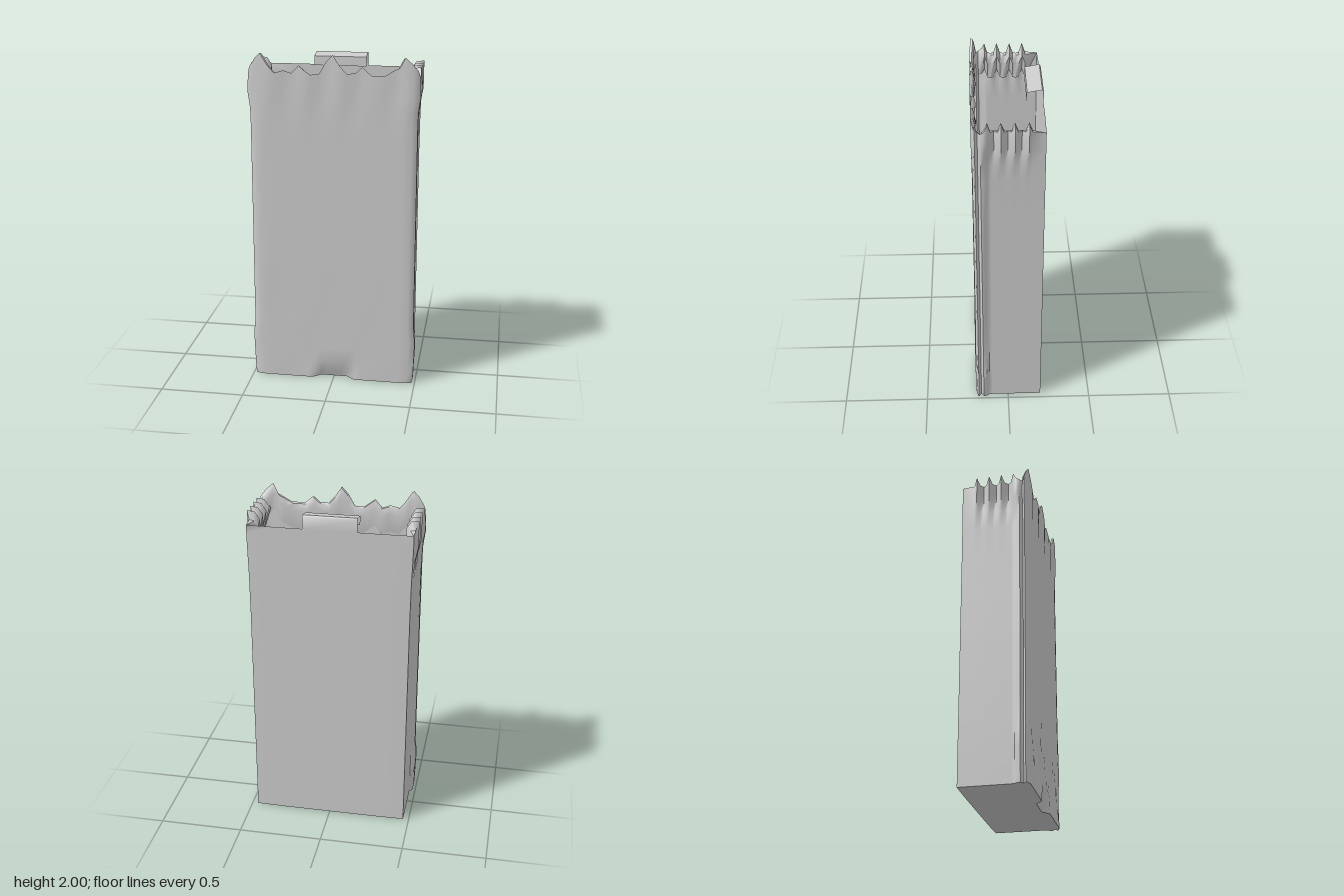
import * as THREE from 'three';
import { toCreasedNormals } from 'three/addons/utils/BufferGeometryUtils.js';

const paper = new THREE.MeshStandardMaterial({ color: 0xcccccc, side: THREE.DoubleSide });
paper.name = 'plain grey paper';

// Straight-line lookup in a short list of [position, value] pairs
function lookup(list, t) {
  if (t <= list[0][0]) return list[0][1];
  for (let i = 1; i < list.length; i++) {
    const [a, va] = list[i - 1], [b, vb] = list[i];
    if (t <= b) return va + (vb - va) * (t - a) / (b - a);
  }
  return list[list.length - 1][1];
}

// Torn front rim: height along x
const tornEdge = [[-0.49, 1.92], [-0.46, 1.97], [-0.43, 2], [-0.385, 1.935], [-0.34, 1.89], [-0.29, 1.905],
  [-0.24, 1.89], [-0.2, 1.935], [-0.16, 1.905], [-0.13, 1.885], [-0.08, 1.89], [-0.04, 1.96], [0, 2], [0.04, 1.94],
  [0.08, 1.895], [0.13, 1.9], [0.17, 1.935], [0.22, 1.89], [0.3, 1.89], [0.35, 1.92], [0.385, 1.935],
  [0.42, 1.995], [0.46, 1.96], [0.49, 1.92]];

// Half width of the front panel by height
const halfWidth = [[0, 0.485], [0.03, 0.49], [0.27, 0.498], [0.36, 0.488], [1.58, 0.486], [1.68, 0.488],
  [1.77, 0.5], [1.86, 0.498], [1.93, 0.488], [2, 0.485]];

// Side wall from front to back: z positions
const sideZ = [0.18, 0.165, 0.15, 0.13, 0.113];
for (let z = 0.09625; z > -0.13; z -= 0.01875) sideZ.push(z);
sideZ.push(-0.2);

const pleat = z => Math.cos((z - 0.115) / 0.075 * Math.PI * 2);

// Perimeter stations, starting at the front right corner
function perimeter() {
  const ring = tornEdge.map(([x, top]) => ({ part: 'front', x, top }));
  const side = sideZ.map(z => {
    let top = 1.875;
    if (z > -0.13) top = 1.882 + 0.048 * Math.max(0, pleat(z));
    if (z > 0.17) top = 1.9;
    return { part: 'side', z, top };
  });
  ring.push(...side.map(s => ({ ...s, sign: 1 })));
  for (const x of [0.3, 0.15, -0.16, -0.3]) ring.push({ part: 'back', x, top: 1.875 });
  ring.push(...side.reverse().map(s => ({ ...s, sign: -1 })));
  return ring;
}

// Position on the wall for a station and height
function wallPoint(s, y) {
  const w = lookup(halfWidth, y);
  if (s.part === 'back') return [s.x, y, -0.203];
  if (s.part === 'front') {
    let z = 0.197;
    if (Math.abs(s.x) > 0.45) z -= 0.012 * (Math.abs(s.x) > 0.48 ? 1 : 0.25);
    if (y > 1.6) z += 0.006 * Math.sin(s.x * 31) * Math.min(1, (y - 1.6) / 0.2);
    if (y > 0.05 && y < 0.4) z += 0.004 * Math.sin(s.x * 19 + y * 14);
    // Thumb notch at the bottom of the panel
    if (y < 0.11 && Math.abs(s.x) < 0.1) z -= 0.04 * (1 - y / 0.11);
    return [s.x / 0.49 * (w - 0.006), y, z];
  }
  // Side wall with raised front seam and pleats near the rim
  let x = 0.465 + 0.008 * Math.min(1, Math.max(0, (y - 1.5) / 0.3));
  if (s.z > 0.12) x = w - 0.002;
  if (s.z > 0.155 && s.z < 0.17) x -= 0.022;
  if (s.z > 0.12 && s.z < 0.14) x -= 0.004 + 0.004 * Math.sin(y * 23);
  if (s.z > -0.13 && s.z < 0.14) x += 0.017 * pleat(s.z) * Math.min(1, Math.max(0, (y - 1.67) / 0.1));
  return [s.sign * x, y, s.z];
}

// Inside of the rolled rim: moved inward and down
function rimPoint(s, drop, inset) {
  const p = wallPoint(s, s.top);
  if (s.part === 'back' || (s.part === 'side' && s.z < -0.13)) return p;
  p[1] -= drop;
  if (s.part === 'front') {
    p[2] -= inset * 0.3;
    p[0] *= 1 - inset * 0.5;
  } else {
    const fold = 0.65 + 0.35 * pleat(s.z);
    p[0] -= s.sign * inset * fold;
  }
  return p;
}

function buildGeometry(rows, closed, floor) {
  const n = rows[0].length, pos = rows.flat(2), index = [];
  const point = i => new THREE.Vector3().fromArray(pos, i * 3);
  const add = (a, b, c) => {
    const area = point(b).sub(point(a)).cross(point(c).sub(point(a))).length();
    if (area > 1e-8) index.push(a, b, c);
  };
  for (let j = 0; j < rows.length - 1; j++) {
    for (let i = 0; i < (closed ? n : n - 1); i++) {
      const a = j * n + i, b = j * n + (i + 1) % n;
      add(a, b, b + n);
      add(a, b + n, a + n);
    }
  }
  if (floor) {
    const c = pos.length / 3;
    pos.push(0, 0.004, 0);
    for (let i = 0; i < n; i++) add((i + 1) % n, i, c);
  }
  const g = new THREE.BufferGeometry();
  g.setAttribute('position', new THREE.Float32BufferAttribute(pos, 3));
  g.setIndex(index);
  return toCreasedNormals(g, 0.95);
}

export function createModel() {
  const group = new THREE.Group();
  group.name = 'tornCarton';
  const add = (name, geometry) => {
    const mesh = new THREE.Mesh(geometry, paper);
    mesh.name = name;
    group.add(mesh);
  };

  // Walls, floor and rolled torn rim
  const ring = perimeter();
  const heights = [0, 0.03, 0.11, 0.2, 0.27, 0.36, 0.6, 0.85, 1.1, 1.35, 1.58, 1.68, 1.77, 1.83];
  const rows = heights.map(y => ring.map(s => wallPoint(s, y)));
  rows.push(ring.map(s => wallPoint(s, s.top)));
  rows.push(ring.map(s => rimPoint(s, 0.006, 0.045)));
  rows.push(ring.map(s => rimPoint(s, 0.05, 0.075)));
  rows.push(ring.map(s => rimPoint(s, 0.16, 0.02)));
  add('cartonBody', buildGeometry(rows, true, true));

  // Folded tab on the back rim
  const fold = [[1.87, -0.203], [1.945, -0.203], [1.955, -0.195], [1.94, -0.112], [1.885, -0.11]];
  const tab = fold.map(([y, z]) => [[0.15, y, z], [-0.16, y, z]]);
  add('foldedTab', buildGeometry(tab, false, false));
  return group;
}
